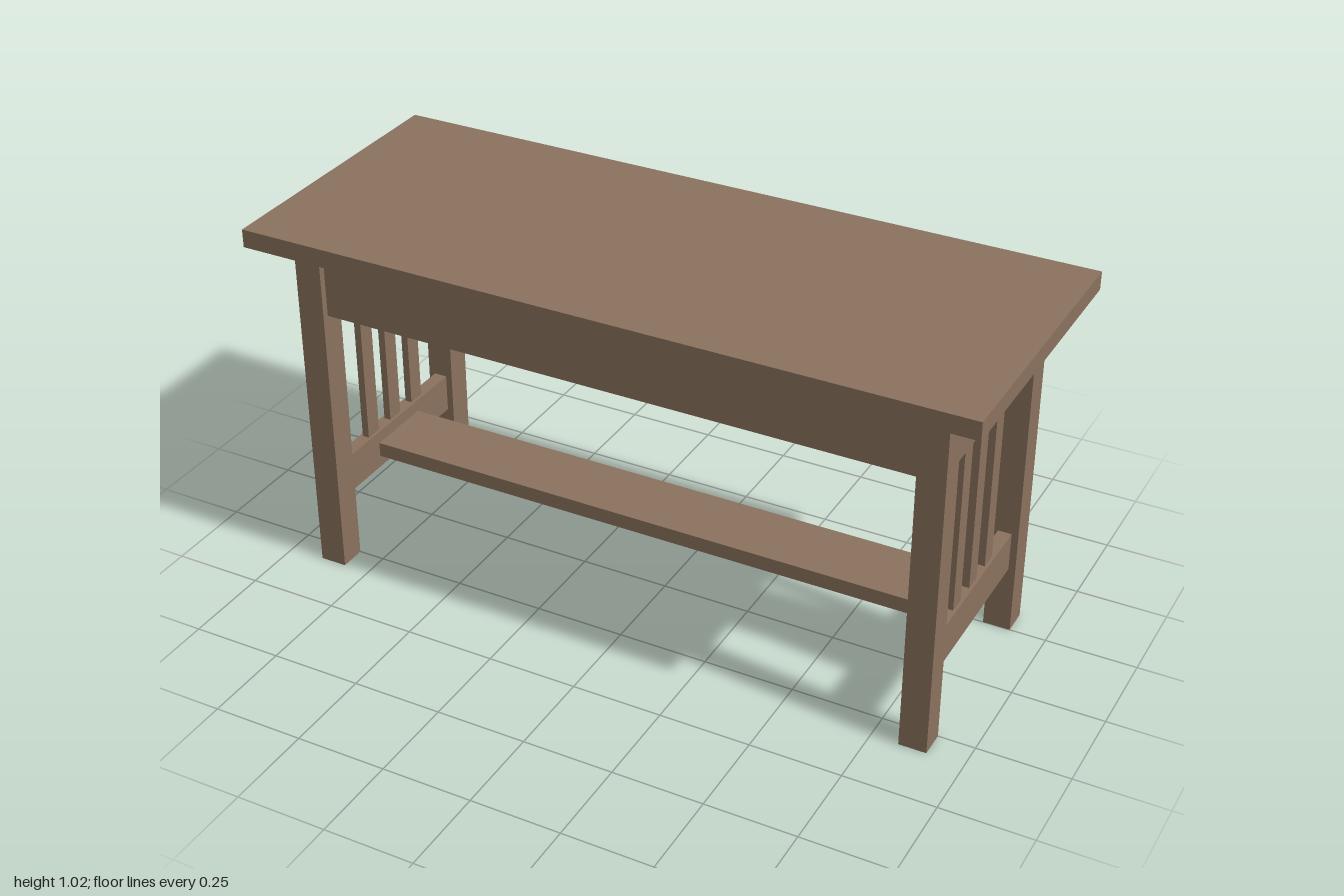
import * as THREE from 'three';

export function createModel() {
  const group = new THREE.Group();
  const wood = new THREE.MeshStandardMaterial({ color: 0x8b725e });
  wood.name = 'brown wood';

  // Box given by its size, its centre in x and z, and its bottom height
  const board = (name, w, h, d, x, bottom, z) => {
    const mesh = new THREE.Mesh(new THREE.BoxGeometry(w, h, d), wood);
    mesh.name = name;
    mesh.position.set(x, bottom + h / 2, z);
    group.add(mesh);
  };

  const legX = 0.8625, legZ = 0.2875, leg = 0.075;
  const rail = 0.0375;
  const spanX = 2 * legX - leg, spanZ = 2 * legZ - leg;

  board('tableTop', 2, 0.05, 0.8, 0, 0.975, 0);

  // Long aprons, front and back
  for (const s of [1, -1]) {
    board(s > 0 ? 'frontApron' : 'backApron', spanX, 0.2, rail, 0, 0.775, s * legZ);
  }

  // Each end: two legs, apron, lower rail and three slats
  for (const s of [1, -1]) {
    const side = s > 0 ? 'left' : 'right';
    const x = s * legX;
    board(side + 'FrontLeg', leg, 0.975, leg, x, 0, legZ);
    board(side + 'BackLeg', leg, 0.975, leg, x, 0, -legZ);
    board(side + 'Apron', rail, 0.2, spanZ, x, 0.775, 0);
    board(side + 'LowerRail', rail, 0.11, spanZ, x, 0.19, 0);
    for (const i of [-1, 0, 1]) {
      board(side + 'Slat', 0.02, 0.475, 0.05, x, 0.3, i * 0.107);
    }
  }

  // Low shelf running between the lower rails
  board('shelf', 2 * legX - rail, 0.042, 0.195, 0, 0.224, 0);

  return group;
}
